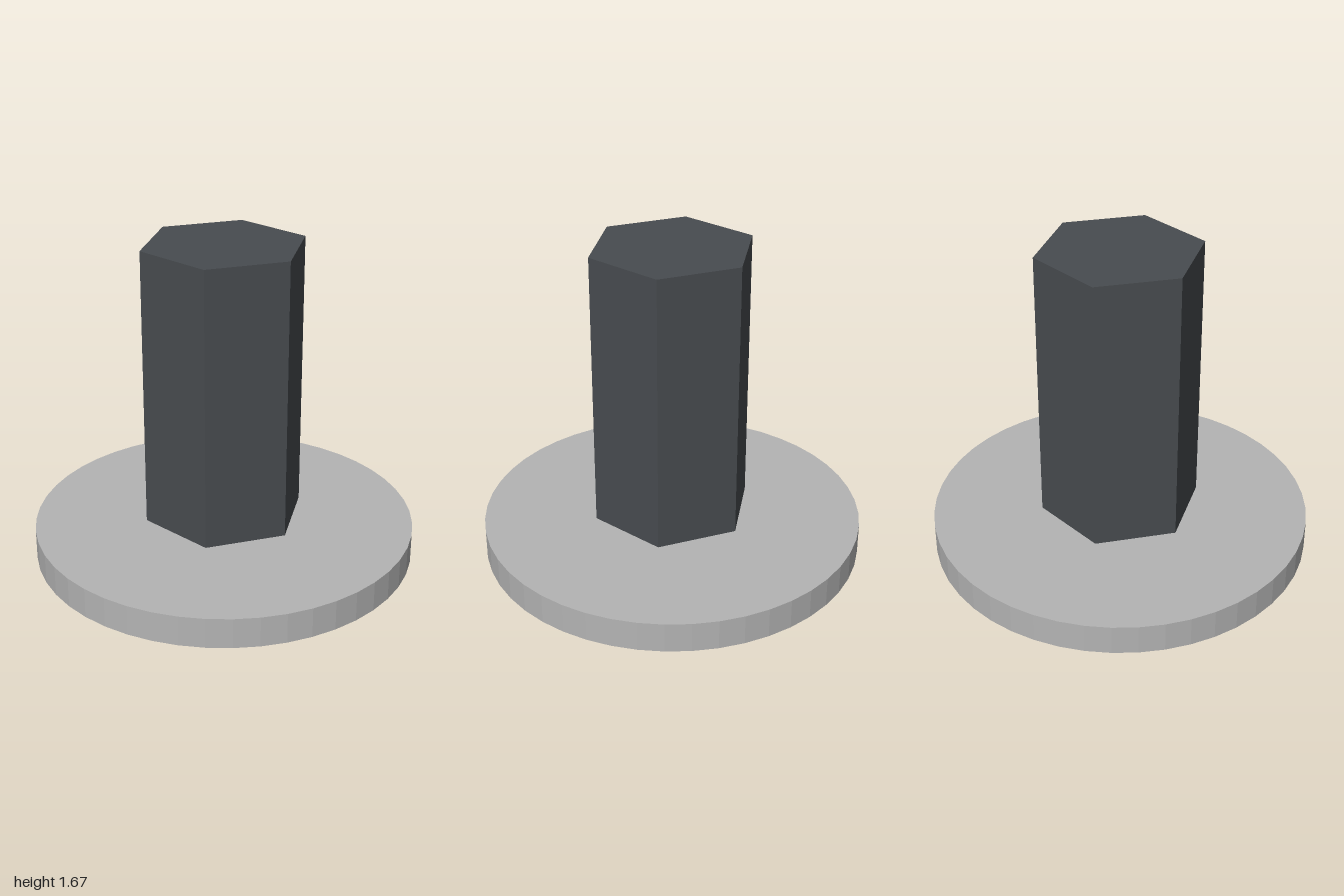
import * as THREE from 'three';

export function createModel() {
  const model = new THREE.Group();
  const lightGrey = new THREE.MeshStandardMaterial({ name: 'lightGrey', color: 0xb4b4b4 });
  const darkGrey = new THREE.MeshStandardMaterial({ name: 'darkGrey', color: 0x484c50 });
  lightGrey.flatShading = darkGrey.flatShading = true;

  // Upright prism spanning bottom to top
  function addPrism(name, radius, bottom, top, sides, material) {
    const geometry = new THREE.CylinderGeometry(radius, radius, top - bottom, sides);
    geometry.rotateY(Math.PI / 2); // a corner points along x
    const mesh = new THREE.Mesh(geometry, material);
    mesh.name = name;
    mesh.position.y = (bottom + top) / 2;
    model.add(mesh);
  }

  // Round base plate
  addPrism('basePlate', 1, 0, 0.16, 48, lightGrey);
  // Hexagonal column floating just above the plate
  addPrism('hexColumn', 0.425, 0.2, 1.67, 6, darkGrey);

  return model;
}
